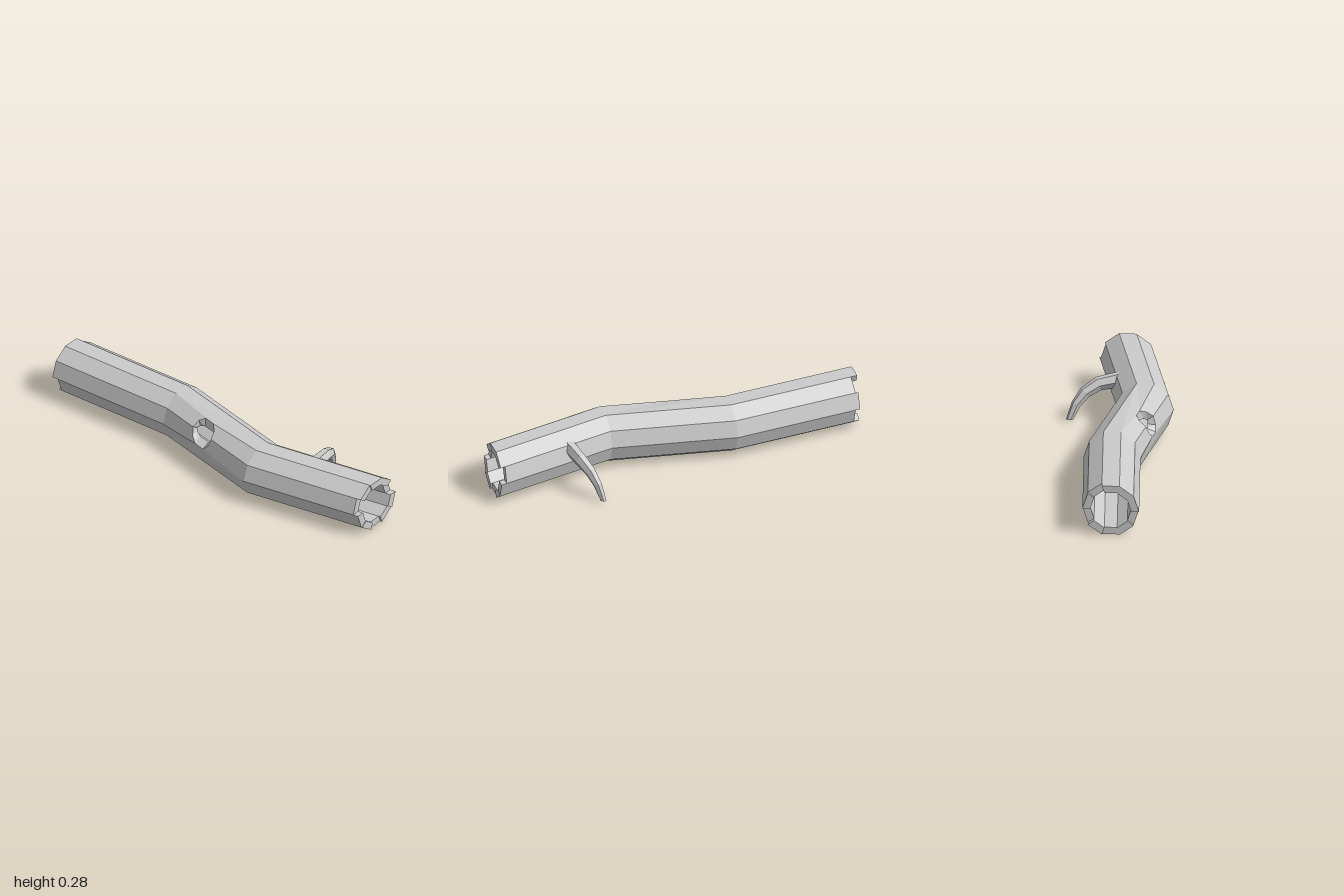
import * as THREE from 'three';

const R_OUT = 0.146, R_IN = 0.106, Y = 0.14, SIDES = 10;
const X1 = -0.3, X2 = 0.34; // the two bends
const PATH = [[-1, 0.07], [X1, 0.02], [X2, 0.138], [1, -0.008]];
// Where each stave breaks off, counted from the top towards the front
const LEFT_END = [-1, -1, -1, -0.965, -0.98, -0.975, -0.985, -0.955, -0.98, -0.965];
const RIGHT_END = [0.985, 0.98, 0.958, 0.985, 0.988, 0.975, 0.985, 0.99, 0.96, 0.985];
// Upper half of the knot hole as [x, angle from the top]
const HOLE = [[-0.09, 54], [-0.08, 36], [-0.05, 24], [0.01, 24], [0.04, 36], [0.05, 54]];
const flip = ([x, a]) => [x, 108 - a];

function centreZ(x) {
  let i = 0;
  while (i < 2 && x > PATH[i + 1][0]) i++;
  const [a, b] = [PATH[i], PATH[i + 1]];
  return THREE.MathUtils.lerp(a[1], b[1], (x - a[0]) / (b[0] - a[0]));
}

// Point on the ten-sided tube
function onTube([x, deg], r) {
  const dev = deg - Math.round(deg / 36) * 36;
  const rad = THREE.MathUtils.degToRad;
  const d = r * Math.cos(rad(18)) / Math.cos(rad(dev));
  return new THREE.Vector3(x, Y + d * Math.cos(rad(deg)), centreZ(x) + d * Math.sin(rad(deg)));
}

// Collects triangles, each turned towards a given direction
function makeSurface() {
  const pos = [];
  const tri = (a, b, c, out) => {
    const n = b.clone().sub(a).cross(c.clone().sub(a));
    const order = n.dot(out) < 0 ? [a, c, b] : [a, b, c];
    order.forEach((p) => pos.push(p.x, p.y, p.z));
  };
  const quad = (a, b, c, d, out) => { tri(a, b, c, out); tri(a, c, d, out); };
  const mesh = (name) => {
    const g = new THREE.BufferGeometry();
    g.setAttribute('position', new THREE.Float32BufferAttribute(pos, 3));
    g.computeVertexNormals();
    const m = new THREE.Mesh(g, new THREE.MeshStandardMaterial({
      color: 0xcccccc, flatShading: true, side: THREE.DoubleSide }));
    m.name = name;
    return m;
  };
  return { tri, quad, mesh };
}

// The hole narrows towards the inside
const innerPoint = ([x, a]) => (x > -0.1 && x < 0.06 ? [x, 54 + (a - 54) * 0.55] : [x, a]);

// Outline of a stave between the two bends, split where the hole cuts it
function middleOutlines(i) {
  if (i === 0) return [[[X1, -18], [X1, 18], HOLE[2], HOLE[3], [X2, 18], [X2, -18]]];
  if (i === 1) {
    return [
      [[X1, 18], HOLE[2], HOLE[1], HOLE[0], [X1, 54]],
      [[X2, 18], [X2, 54], HOLE[5], HOLE[4], HOLE[3]],
    ];
  }
  if (i === 2 || i === 3) return middleOutlines(3 - i).map((o) => o.map(flip));
  const a = i * 36 - 18, b = a + 36;
  return [[[X1, a], [X1, b], [X2, b], [X2, a]]];
}

function makeTrunk() {
  const group = new THREE.Group();
  group.name = 'hollowTrunk';
  const bark = makeSurface(), inside = makeSurface(), ends = makeSurface(), rim = makeSurface();

  for (let i = 0; i < SIDES; i++) {
    const a = i * 36 - 18, b = a + 36;
    const out = onTube([0, i * 36], 1).sub(onTube([0, i * 36], 0));
    const [l, r] = [LEFT_END[i], RIGHT_END[i]];
    const outlines = [
      [[l, a], [l, b], [X1, b], [X1, a]],
      ...middleOutlines(i),
      [[X2, a], [X2, b], [r, b], [r, a]],
    ];
    for (const o of outlines) {
      // scaled angle keeps the flat triangulation well shaped
      const flat = o.map(([x, deg]) => new THREE.Vector2(x, deg / 400));
      const po = o.map((p) => onTube(p, R_OUT));
      const pi = o.map((p) => onTube(innerPoint(p), R_IN));
      for (const [p, q, s] of THREE.ShapeUtils.triangulateShape(flat, [])) {
        bark.tri(po[p], po[q], po[s], out);
        inside.tri(pi[p], pi[q], pi[s], out.clone().negate());
      }
    }
    // Broken ends and the steps between neighbouring staves
    const next = (i + 1) % SIDES;
    [[l, LEFT_END[next], -1], [r, RIGHT_END[next], 1]].forEach(([x, xn, dir]) => {
      ends.quad(onTube([x, a], R_OUT), onTube([x, b], R_OUT), onTube([x, b], R_IN),
        onTube([x, a], R_IN), new THREE.Vector3(dir, 0, 0));
      const side = onTube([0, b + 90], 1).sub(onTube([0, b + 90], 0));
      if ((x - xn) * dir < 0) side.negate();
      ends.quad(onTube([x, b], R_OUT), onTube([xn, b], R_OUT), onTube([xn, b], R_IN),
        onTube([x, b], R_IN), side);
    });
  }

  // Wall of the knot hole
  const loop = [...HOLE, ...HOLE.slice(1, 5).reverse().map(flip)];
  const middle = onTube([-0.02, 54], 0.125);
  loop.forEach((p, k) => {
    const q = loop[(k + 1) % loop.length];
    const c = [onTube(p, R_OUT), onTube(q, R_OUT), onTube(innerPoint(q), R_IN), onTube(innerPoint(p), R_IN)];
    rim.quad(...c, middle.clone().sub(c[0]));
  });

  group.add(bark.mesh('bark'), inside.mesh('innerWall'), ends.mesh('brokenEnds'), rim.mesh('knotHole'));
  return group;
}

// Drooping twig: six-sided rings along a bent path, [x, y, z, radius]
function makeTwig() {
  const s = makeSurface();
  const path = [
    [0.575, 0.2, -0.01, 0.042], [0.55, 0.182, -0.12, 0.038], [0.52, 0.143, -0.187, 0.032],
    [0.497, 0.088, -0.23, 0.026], [0.478, 0.01, -0.262, 0.019],
  ];
  const pts = path.map((p) => new THREE.Vector3(p[0], p[1], p[2]));
  const last = pts.length - 1;
  const rings = pts.map((p, i) => {
    const t = pts[Math.min(i + 1, last)].clone().sub(pts[Math.max(i - 1, 0)]).normalize();
    if (i === last) t.set(0, -1, 0); // tip is cut level
    const v = new THREE.Vector3(1, 0, -0.35).cross(t).normalize();
    const u = t.clone().cross(v);
    return Array.from({ length: 6 }, (_, k) => {
      const a = (k * Math.PI) / 3;
      return p.clone().addScaledVector(u, path[i][3] * 0.85 * Math.cos(a))
        .addScaledVector(v, path[i][3] * Math.sin(a));
    });
  });
  for (let k = 0; k < 6; k++) {
    const n = (k + 1) % 6;
    for (let i = 0; i < last; i++) {
      const out = rings[i][k].clone().add(rings[i][n]).addScaledVector(pts[i], -2);
      s.quad(rings[i][k], rings[i][n], rings[i + 1][n], rings[i + 1][k], out);
    }
    s.tri(rings[last][k], rings[last][n], pts[last], new THREE.Vector3(0, -1, 0));
  }
  return s.mesh('twig');
}

export function createModel() {
  const model = new THREE.Group();
  model.name = 'hollowLog';
  model.add(makeTrunk(), makeTwig());
  return model;
}
